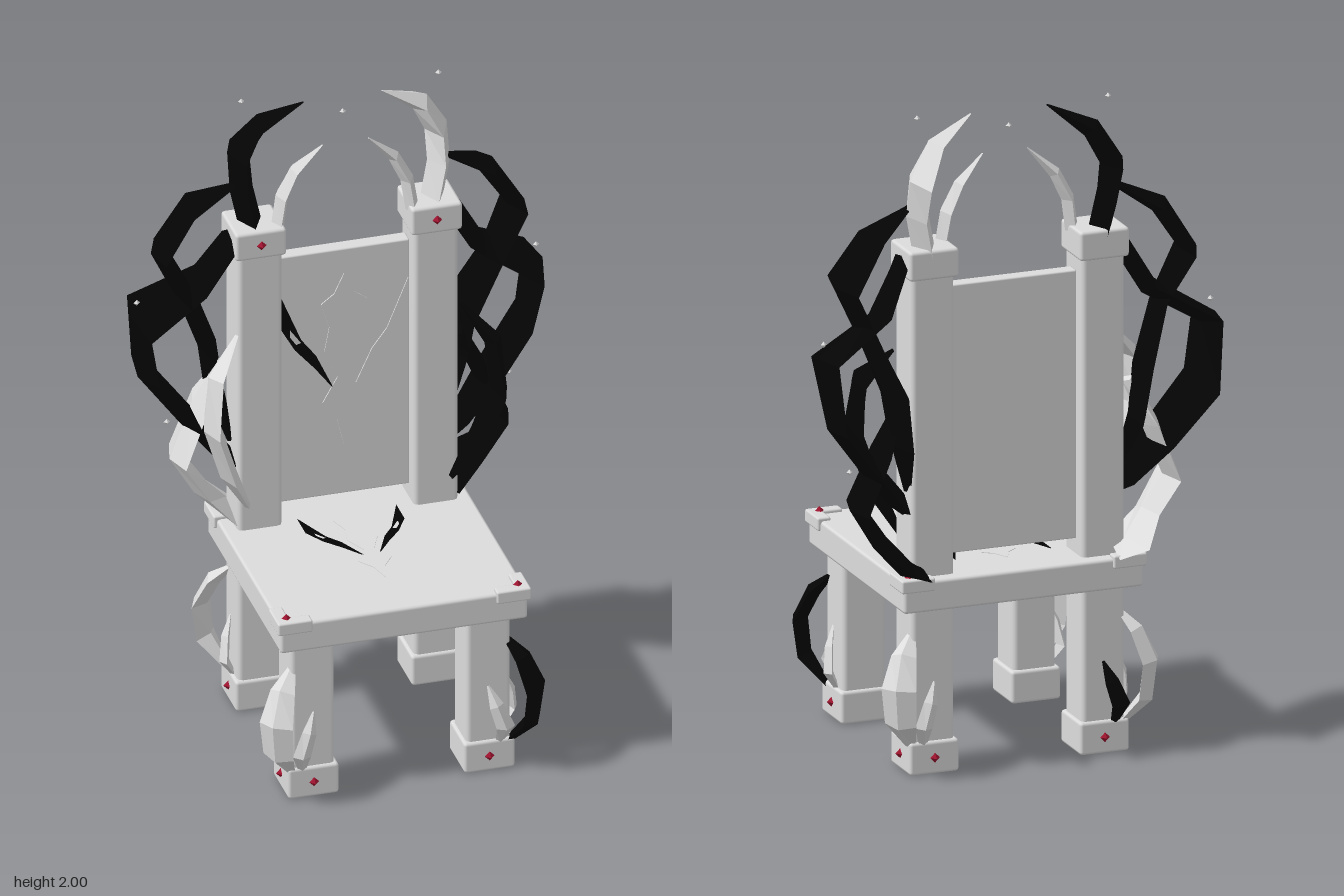
import * as THREE from 'three';
import { RoundedBoxGeometry } from 'three/addons/geometries/RoundedBoxGeometry.js';

const V = (p) => new THREE.Vector3(...p);

// Faceted blade: diamond cross-section swept along points [x, y, z, halfWidth]
function bladeGeometry(points, thick, wideDir) {
  const c = points.map((p) => V(p));
  const rings = points.map((p, k) => {
    const t = c[Math.min(k + 1, c.length - 1)].clone().sub(c[Math.max(k - 1, 0)]).normalize();
    const w = V(wideDir).addScaledVector(t, -V(wideDir).dot(t)).normalize();
    const n = t.clone().cross(w);
    const h = Math.min(thick, p[3] * 0.6);
    return [[w, p[3]], [n, h], [w, -p[3]], [n, -h]].map(([d, s]) => c[k].clone().addScaledVector(d, s));
  });
  const pos = [];
  const tri = (...vs) => vs.forEach((v) => pos.push(v.x, v.y, v.z));
  for (let k = 0; k < rings.length - 1; k++) {
    for (let i = 0; i < 4; i++) {
      const j = (i + 1) % 4, a = rings[k], b = rings[k + 1];
      tri(a[i], a[j], b[i]);
      tri(a[j], b[j], b[i]);
    }
  }
  const s = rings[0], e = rings[rings.length - 1];
  tri(s[0], s[2], s[1]); tri(s[0], s[3], s[2]);
  tri(e[0], e[1], e[2]); tri(e[0], e[2], e[3]);
  const g = new THREE.BufferGeometry();
  g.setAttribute('position', new THREE.Float32BufferAttribute(pos, 3));
  g.computeVertexNormals();
  return g;
}

export function createModel() {
  const model = new THREE.Group();
  const material = (name, color) => {
    const m = new THREE.MeshStandardMaterial({ color });
    m.name = name;
    return m;
  };
  const pale = material('paleStone', 0xdcdcdc);
  const black = material('blackThorn', 0x040404);
  const red = material('redGem', 0xa0142f);

  const add = (name, geometry, mat, parent = model) => {
    const m = new THREE.Mesh(geometry, mat);
    m.name = name;
    parent.add(m);
    return m;
  };
  // Bevelled box given by its limits
  const box = (name, x0, x1, y0, y1, z0, z1, r = 0.01) => {
    const g = new RoundedBoxGeometry(x1 - x0, y1 - y0, z1 - z0, 1, r);
    g.translate((x0 + x1) / 2, (y0 + y1) / 2, (z0 + z1) / 2);
    return add(name, g, pale);
  };
  const gem = (x, y, z, r = 0.015, mat = red, name = 'gem') =>
    add(name, new THREE.OctahedronGeometry(r), mat).position.set(x, y, z);
  const blade = (name, pts, s, mat, thick = 0.025, dir = [0, 0, 1]) =>
    add(name, bladeGeometry(pts.map(([x, y, z, w]) => [x * s, y, z, w]), thick, dir), mat);

  // Seat and backrest
  box('seat', -0.376, 0.376, 0.507, 0.602, -0.37, 0.382);
  box('backrest', -0.2, 0.2, 0.65, 1.47, -0.285, -0.238, 0.005);

  const cornerThorn = [[0.32, 0.43, 0.32, 0.01], [0.365, 0.37, 0.365, 0.04], [0.395, 0.28, 0.4, 0.055],
    [0.385, 0.17, 0.39, 0.05], [0.33, 0.08, 0.33, 0.015]];

  for (const s of [-1, 1]) {
    const sideBox = (name, x0, x1, ...rest) =>
      box(name, Math.min(s * x0, s * x1), Math.max(s * x0, s * x1), ...rest);

    // Posts and legs with caps and gems
    sideBox('backPost', 0.2, 0.335, 0, 1.58, -0.328, -0.19, 0.015);
    sideBox('postCap', 0.19, 0.345, 1.51, 1.6, -0.34, -0.18);
    sideBox('frontLeg', 0.2, 0.335, 0, 0.52, 0.21, 0.347, 0.015);
    gem(s * 0.267, 1.555, -0.18);
    gem(s * 0.345, 1.555, -0.26);

    for (const f of [-1, 1]) {
      const cz = f > 0 ? 0.278 : -0.26;
      const outerZ = cz + f * 0.079;
      sideBox('footCap', 0.19, 0.345, 0, 0.1, cz - 0.079, cz + 0.079);
      gem(s * 0.267, 0.05, outerZ);
      gem(s * 0.345, 0.05, cz);

      // Large thorn on the outer corner of each leg
      const shift = f > 0 ? 0 : -0.025;
      blade('cornerThorn', cornerThorn.map(([x, y, z, w]) => [x, y, f * (z + shift), w]), s,
        s > 0 && f > 0 ? black : pale, 0.022, [s, 0, -f]);
      // Small thorns on the outer faces of each leg
      blade('faceThorn', [[0.3, 0.09, outerZ - f * 0.01, 0.012], [0.31, 0.15, outerZ + f * 0.02, 0.028],
        [0.285, 0.22, outerZ + f * 0.012, 0.022], [0.265, 0.28, outerZ - f * 0.01, 0.004]], s,
      s < 0 && f < 0 ? black : pale, 0.015, [1, 0, 0]);
      blade('sideThorn', [[0.33, 0.09, cz - f * 0.01, 0.012], [0.365, 0.15, cz - f * 0.025, 0.03],
        [0.355, 0.22, cz - f * 0.005, 0.022], [0.335, 0.28, cz + f * 0.012, 0.004]], s, pale, 0.015);

      // L-shaped clip on the seat corner
      const ez = f > 0 ? 0.39 : -0.378;
      const zs = (a, b) => [Math.min(ez - f * a, ez - f * b), Math.max(ez - f * a, ez - f * b)];
      sideBox('seatClip', 0.28, 0.385, 0.572, 0.612, ...zs(0, 0.04), 0.006);
      sideBox('seatClip', 0.343, 0.385, 0.572, 0.612, ...zs(0, 0.105), 0.006);
      gem(s * 0.352, 0.612, ez - f * 0.034, 0.014);
    }

    // Crown horns
    blade('largeHorn', [[0.275, 1.58, -0.27, 0.07], [0.3, 1.7, -0.28, 0.075], [0.3, 1.8, -0.31, 0.088],
      [0.245, 1.9, -0.285, 0.05], [0.12, 1.975, -0.25, 0.004]], s, s < 0 ? black : pale, 0.035);
    blade('smallHorn', [[0.205, 1.58, -0.23, 0.035], [0.19, 1.68, -0.235, 0.04], [0.15, 1.76, -0.235, 0.03],
      [0.07, 1.84, -0.22, 0.003]], s, pale, 0.02);

    // Twisting thorn branches beside the backrest
    blade('upperBranch', [[0.32, 1.72, -0.27, 0.015], [0.45, 1.65, -0.3, 0.08], [0.54, 1.51, -0.3, 0.1],
      [0.46, 1.35, -0.28, 0.08], [0.39, 1.17, -0.33, 0.1], [0.37, 1.02, -0.33, 0.08],
      [0.33, 0.86, -0.28, 0.02]], s, black, 0.028, [0.1 * s, 0, 1]);
    blade('middleBranch', [[0.33, 1.56, -0.25, 0.06], [0.42, 1.4, -0.29, 0.08], [0.6, 1.29, -0.31, 0.12],
      [0.575, 1.1, -0.33, 0.12], [0.46, 0.95, -0.3, 0.11], [0.36, 0.83, -0.27, 0.08],
      [0.31, 0.77, -0.25, 0.02]], s, black, 0.028, [-0.1 * s, 0, 1]);
    blade('lowerBranch', [[0.36, 1.12, -0.28, 0.03], [0.42, 0.99, -0.3, 0.08], [0.49, 0.82, -0.29, 0.09],
      [0.42, 0.71, -0.29, 0.08], [0.35, 0.63, -0.32, 0.13], [0.31, 0.61, -0.31, 0.08]], s,
    s > 0 ? black : pale);
    blade('frontBranch', [[0.34, 1.26, -0.19, 0.01], [0.42, 1.16, -0.13, 0.06], [0.435, 1.0, -0.12, 0.08],
      [0.38, 0.83, -0.14, 0.07], [0.31, 0.69, -0.18, 0.015]], s, s > 0 ? black : pale, 0.026);

    // Floating shards
    [[0.3, 1.99, -0.28], [0.607, 1.345, -0.315], [0.52, 0.94, -0.3]].forEach(([x, y, z]) =>
      gem(s * x, y, z, 0.01, pale, 'floatingShard'));
  }
  gem(0, 1.925, -0.25, 0.01, pale, 'floatingShard');

  // Thin inlays: a thorned star and side leaves, in [x, distance from the star's lower tip]
  const plate = (pts, hole) => {
    const toV2 = (list) => list.map(([x, y]) => new THREE.Vector2(x, y));
    const shape = new THREE.Shape(toV2(pts));
    if (hole) shape.holes.push(new THREE.Path(toV2(hole)));
    return new THREE.ExtrudeGeometry(shape, { depth: 0.004, bevelEnabled: false });
  };
  const half = [[0.022, 0.09], [0.065, 0.15], [0.02, 0.23], [0.06, 0.32], [0.045, 0.4], [0.07, 0.48], [0.03, 0.51]];
  const star = [[0, 0], ...half, [0, 0.575], ...half.map(([x, y]) => [-x, y]).reverse()];
  const leaf = (s) => [[0.03, 0.19], [0.085, 0.31], [0.13, 0.37], [0.195, 0.53], [0.195, 0.42],
    [0.15, 0.34], [0.09, 0.27]].map(([x, y]) => [x * s, y]);
  const leafHole = (s) => [[0.13, 0.36], [0.165, 0.41], [0.165, 0.385], [0.145, 0.355]].map(([x, y]) => [x * s, y]);

  const backInlay = new THREE.Group();
  backInlay.name = 'backrestInlay';
  backInlay.position.set(0, 0.815, -0.2385);
  add('star', plate(star), pale, backInlay);
  add('rightLeaf', plate(leaf(-1), leafHole(-1)), black, backInlay);
  add('leftLeaf', plate(leaf(1)), pale, backInlay);

  const seatInlay = new THREE.Group();
  seatInlay.name = 'seatInlay';
  seatInlay.position.set(0, 0.6, 0.195);
  seatInlay.rotation.x = -Math.PI / 2;
  seatInlay.scale.set(0.77, 0.76, 1);
  add('star', plate(star), pale, seatInlay);
  for (const s of [-1, 1]) add('leaf', plate(leaf(s), leafHole(s)), black, seatInlay);

  model.add(backInlay, seatInlay);
  return model;
}
